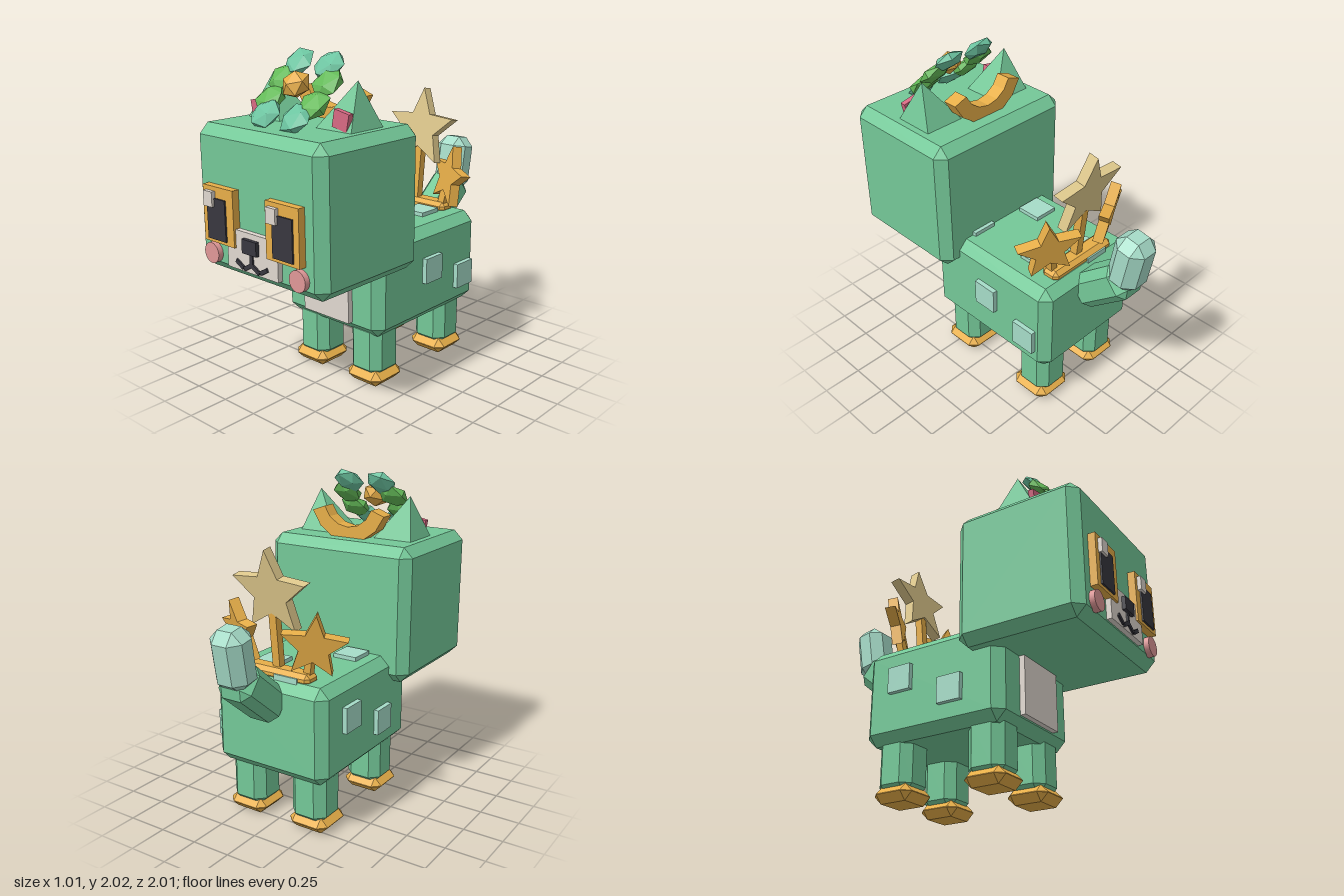
import * as THREE from 'three';
import { ConvexGeometry } from 'three/addons/geometries/ConvexGeometry.js';

const mat = (name, color) => {
  const m = new THREE.MeshStandardMaterial({ color });
  m.name = name;
  return m;
};

// Box with every edge and corner cut off by c
function chamferBox(w, h, d, c) {
  const pts = [];
  for (const i of [-1, 1]) for (const j of [-1, 1]) for (const k of [-1, 1]) {
    const [x, y, z] = [i * w / 2, j * h / 2, k * d / 2];
    pts.push(
      new THREE.Vector3(x, y - j * c, z - k * c),
      new THREE.Vector3(x - i * c, y, z - k * c),
      new THREE.Vector3(x - i * c, y - j * c, z));
  }
  return new ConvexGeometry(pts);
}

// Five-pointed plate, centred on its own middle
function starGeometry(r, depth) {
  const s = new THREE.Shape();
  for (let i = 0; i < 10; i++) {
    const a = Math.PI / 2 + i * Math.PI / 5, q = i % 2 ? r * 0.45 : r;
    if (i) s.lineTo(Math.cos(a) * q, Math.sin(a) * q);
    else s.moveTo(Math.cos(a) * q, Math.sin(a) * q);
  }
  s.closePath();
  return new THREE.ExtrudeGeometry(s, { depth, bevelEnabled: false }).translate(0, 0, -depth / 2);
}

export function createModel() {
  const green = mat('body green', 0x74c898);
  const mint = mat('pale mint', 0xa6dcc8);
  const gold = mat('gold', 0xecb24a);
  const paleGold = mat('pale gold', 0xdec88c);
  const leaf = mat('leaf green', 0x64ba58);
  const teal = mat('teal leaf', 0x6cc4a0);
  const cream = mat('cream', 0xe0d8d0);
  const dark = mat('charcoal', 0x38373f);
  const rose = mat('rose', 0xd86a84);
  const blush = mat('blush', 0xe09898);

  const model = new THREE.Group();
  model.name = 'animal';
  const add = (name, geo, material, x, y, z, rx = 0, ry = 0, rz = 0, parent = model) => {
    const m = new THREE.Mesh(geo, material);
    m.name = name;
    m.position.set(x, y, z);
    m.rotation.set(rx, ry, rz);
    parent.add(m);
    return m;
  };
  // Plain box given by its extents
  const block = (name, material, x0, x1, y0, y1, z0, z1) =>
    add(name, new THREE.BoxGeometry(x1 - x0, y1 - y0, z1 - z0), material,
      (x0 + x1) / 2, (y0 + y1) / 2, (z0 + z1) / 2);

  // Body and head
  add('body', chamferBox(0.79, 0.6, 0.97, 0.06), green, 0, 0.64, -0.125);
  add('head', chamferBox(1.01, 0.85, 0.81, 0.06), green, 0, 1.195, 0.525);
  block('chest', cream, -0.185, 0.185, 0.41, 0.8, 0.33, 0.395);

  // Legs and paws
  for (const s of [-1, 1]) for (const z of [0.2, -0.43]) {
    add('leg', chamferBox(0.24, 0.36, 0.24, 0.055), green, s * 0.22, 0.23, z);
    add('paw', chamferBox(0.27, 0.1, 0.27, 0.048), gold, s * 0.225, 0.05, z + 0.006);
  }

  // Tail
  add('tailBase', chamferBox(0.23, 0.42, 0.22, 0.05), green, 0, 0.9, -0.725, -0.87);
  add('tailTip', chamferBox(0.22, 0.36, 0.205, 0.06), mint, 0, 1.15, -0.885, -0.17);

  // Fur patches on the sides and back
  const sidePatch = new THREE.BoxGeometry(0.06, 0.16, 0.16);
  for (const [x, y, z] of [[0.395, 0.675, -0.127], [0.395, 0.553, -0.45],
    [-0.395, 0.71, -0.33], [-0.395, 0.57, 0.03]]) add('sidePatch', sidePatch, mint, x, y, z);
  const topPatch = new THREE.BoxGeometry(0.16, 0.06, 0.16);
  for (const [x, z] of [[0.15, -0.33], [-0.185, 0.02], [0.2, 0.175], [-0.1, -0.48]])
    add('backPatch', topPatch, mint, x, 0.935, z);

  // Eyes
  for (const s of [-1, 1]) {
    const c = s * 0.258, p = s * 0.267;
    block('eyeFrame', gold, c - 0.127, c + 0.127, 0.963, 1.29, 0.91, 0.975);
    block('pupil', dark, p - 0.077, p + 0.077, 0.984, 1.225, 0.96, 0.985);
    const h = s < 0 ? -0.317 : 0.197;
    block('eyeGlint', cream, h - 0.037, h + 0.037, 1.175, 1.264, 0.97, 1.0);
  }

  // Muzzle, nose, mouth and cheeks
  block('muzzle', cream, -0.205, 0.205, 0.84, 1.07, 0.91, 0.962);
  block('nose', dark, -0.058, 0.058, 0.955, 1.037, 0.95, 0.985);
  block('mouthLine', dark, -0.012, 0.012, 0.875, 0.96, 0.95, 0.972);
  const stroke = new THREE.BoxGeometry(0.066, 0.025, 0.02);
  const cheek = new THREE.CylinderGeometry(0.062, 0.062, 0.05, 20).rotateX(Math.PI / 2);
  for (const s of [-1, 1]) {
    add('mouthInner', stroke, dark, s * 0.033, 0.873, 0.962, 0, 0, -s * 0.52);
    add('mouthOuter', stroke, dark, s * 0.098, 0.878, 0.962, 0, 0, s * 0.52);
    add('cheek', cheek, blush, s * 0.35, 0.885, 0.938);
  }

  // Ears lean outward, with a rose panel on the front
  for (const s of [-1, 1]) {
    const pts = [[0.41, 1.6, 0.33], [0.41, 1.6, 0.61], [0.13, 1.6, 0.33], [0.13, 1.6, 0.61], [0.33, 1.88, 0.46]]
      .map(([x, y, z]) => new THREE.Vector3(s * x, y, z));
    add('ear', new ConvexGeometry(pts), green, 0, 0, 0);
    add('innerEar', new THREE.BoxGeometry(0.108, 0.1, 0.035), rose, s * 0.325, 1.68, 0.58, 0, 0, -s * 0.2);
  }

  // Flower tilted on top of the head
  const flower = new THREE.Group();
  flower.name = 'flower';
  flower.position.set(0, 1.805, 0.585);
  flower.rotation.x = -Math.PI / 4;
  model.add(flower);
  const petal = new THREE.IcosahedronGeometry(0.105, 0).scale(1, 1, 0.42);
  for (let i = 0; i < 8; i++) {
    const a = Math.PI / 8 + i * Math.PI / 4;
    const upright = Math.abs(Math.sin(a)) > 0.7;
    add('petal', petal, upright ? teal : leaf, Math.cos(a) * (upright ? 0.31 : 0.185), Math.sin(a) * 0.2,
      upright ? 0.012 : 0, 0, 0, a, flower);
  }
  add('flowerCentre', new THREE.IcosahedronGeometry(0.09, 0).scale(1, 1, 0.75), gold, 0, 0.015, 0.04, 0, 0, 0, flower);

  // Upturned crescent behind the flower
  const arc = new THREE.Shape();
  const a0 = Math.PI * 1.11, a1 = Math.PI * 1.89;
  arc.absarc(0, 0, 0.275, a0, a1, false);
  arc.absarc(0, 0, 0.18, a1, a0, true);
  arc.closePath();
  add('crescent', new THREE.ExtrudeGeometry(arc, { depth: 0.095, bevelEnabled: false, curveSegments: 3 }),
    gold, 0, 1.865, 0.257);

  // Star ornament standing on the back
  add('ornamentBase', chamferBox(0.5, 0.07, 0.12, 0.025), gold, 0, 0.955, -0.49);
  add('centrePost', new THREE.BoxGeometry(0.05, 0.4, 0.05), gold, 0, 1.14, -0.495, -0.1);
  add('centreStar', starGeometry(0.26, 0.065), paleGold, 0, 1.44, -0.53, -0.17);
  const smallStar = starGeometry(0.2, 0.065);
  for (const s of [-1, 1]) {
    add('sidePost', new THREE.BoxGeometry(0.045, 0.18, 0.045), gold, s * 0.22, 1.03, -0.485, -0.1, 0, -s * 0.2);
    const star = add('sideStar', smallStar, gold, s * 0.26, 1.16, -0.495);
    star.rotation.set(-0.17, -s * 0.47, -s * 0.1, 'YXZ');
  }

  return model;
}
